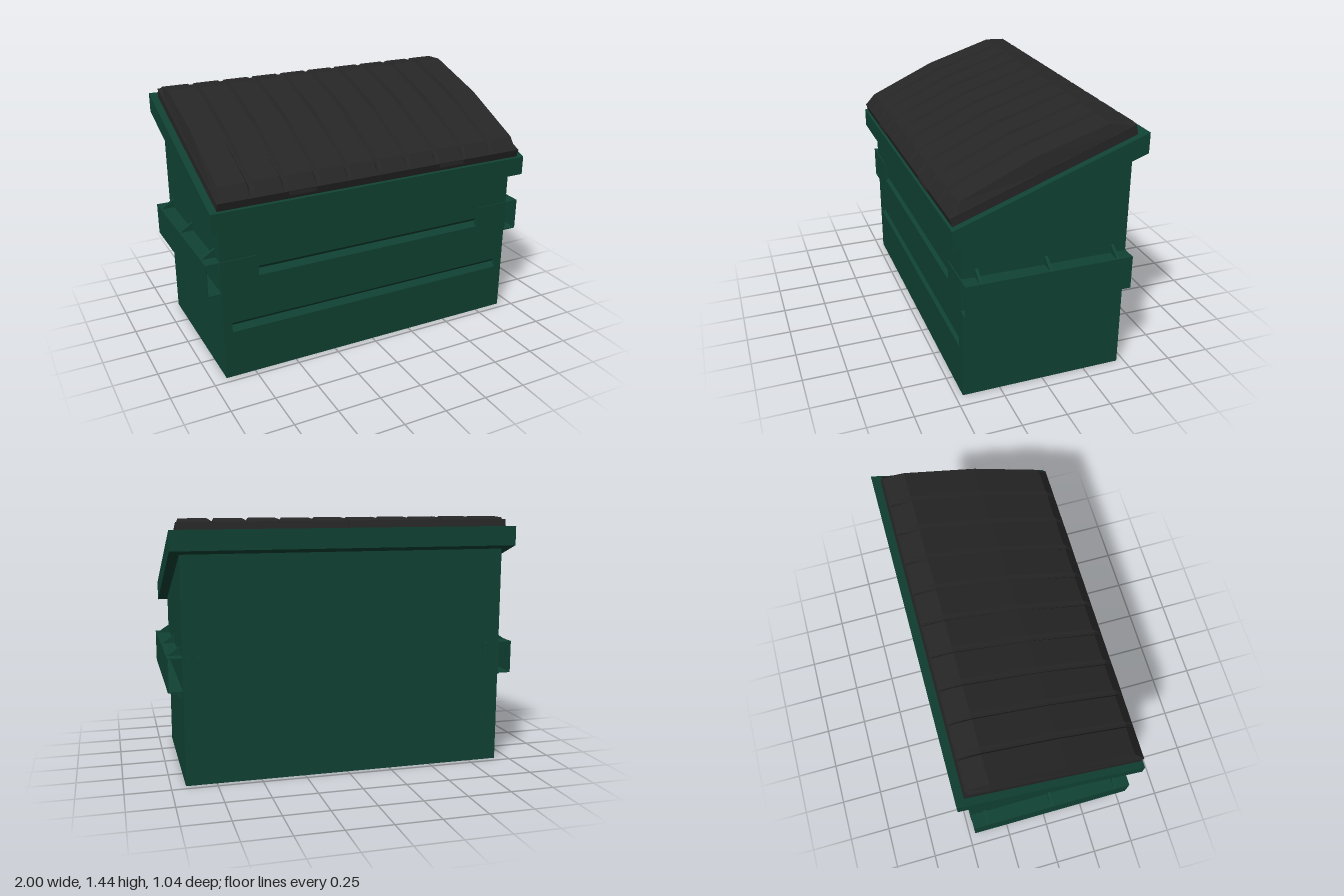
import * as THREE from 'three';

const green = new THREE.MeshStandardMaterial({ color: 0x104233 });
green.name = 'greenSteel';
const black = new THREE.MeshStandardMaterial({ color: 0x262626 });
black.name = 'blackPlastic';

export function createModel() {
  const model = new THREE.Group();
  model.name = 'dumpster';

  const add = (name, geometry, material = green) => {
    const mesh = new THREE.Mesh(geometry, material);
    mesh.name = name;
    model.add(mesh);
    return mesh;
  };
  const box = (name, x0, x1, y0, y1, z0, z1, material) =>
    add(name, new THREE.BoxGeometry(Math.abs(x1 - x0), y1 - y0, z1 - z0), material)
      .position.set((x0 + x1) / 2, (y0 + y1) / 2, (z0 + z1) / 2);
  const shapeOf = (points) => new THREE.Shape(points.map(([x, y]) => new THREE.Vector2(x, y)));

  // Side profile given as [z, y], extruded across the full width
  const acrossX = (name, profile, halfWidth) => {
    const g = new THREE.ExtrudeGeometry(shapeOf(profile), { depth: halfWidth * 2, bevelEnabled: false });
    g.rotateY(-Math.PI / 2).translate(halfWidth, 0, 0);
    return add(name, g);
  };

  // Bin body with a sloping top
  const grooveBack = 0.43;
  acrossX('body', [[grooveBack, 0], [grooveBack, 0.96], [-0.46, 1.29], [-0.46, 0]], 0.92);

  // Front panel with two pressed-in V grooves
  const panel = shapeOf([[-0.92, 0], [0.92, 0], [0.92, 0.95], [-0.92, 0.95]]);
  for (const [half, y0, y1] of [[0.705, 0.59, 0.645], [0.87, 0.28, 0.337]]) {
    const hole = new THREE.Path();
    hole.moveTo(-half, y0).lineTo(-half, y1).lineTo(half, y1).lineTo(half, y0).closePath();
    panel.holes.push(hole);
    const mid = (y0 + y1) / 2;
    acrossX('grooveLowerFace', [[0.46, y0], [grooveBack, mid], [grooveBack, y0]], half);
    acrossX('grooveUpperFace', [[0.46, y1], [grooveBack, y1], [grooveBack, mid]], half);
  }
  add('frontPanel', new THREE.ExtrudeGeometry(panel, { depth: 0.46 - grooveBack, bevelEnabled: false }))
    .position.z = grooveBack;

  // Sloping rim around the opening
  acrossX('rim', [[0.52, 0.905], [0.52, 1.015], [-0.52, 1.39], [-0.52, 1.28]], 0.975);

  // Fork pockets on both sides, open at the ends
  for (const s of [1, -1]) {
    box('pocketOuterPlate', s * 0.994, s, 0.525, 0.713, -0.463, 0.466);
    box('pocketTopPlate', s * 0.92, s * 0.994, 0.707, 0.713, -0.463, 0.466);
    box('pocketBottomPlate', s * 0.92, s * 0.994, 0.525, 0.531, -0.463, 0.466);
    box('pocketFrontStrap', s * 0.71, s * 0.922, 0.525, 0.713, 0.458, 0.466);
    box('pocketBackStrap', s * 0.82, s * 0.922, 0.525, 0.713, -0.466, -0.458);
    for (const z of [-0.38, 0, 0.38]) {
      for (const [wallY, plateY] of [[0.762, 0.712], [0.473, 0.526]]) {
        const gusset = shapeOf([[s * 0.92, plateY], [s * 0.998, plateY], [s * 0.92, wallY]]);
        add('pocketGusset', new THREE.ExtrudeGeometry(gusset, { depth: 0.016, bevelEnabled: false }))
          .position.z = z - 0.008;
      }
    }
  }

  // Lid sections as [z, y], from the front lip over the top to the back lip
  const lip = (inner) => [[0.506, 1.018], [0.52, 1.065], ...inner, [-0.461, 1.427], [-0.475, 1.368]];
  const crown = lip([[0.465, 1.135], [0.07, 1.315], [-0.335, 1.442], [-0.453, 1.437]]);
  const valley = lip([[0.475, 1.112], [0.07, 1.288], [-0.335, 1.42], [-0.445, 1.43]]);
  const flange = lip([0.475, 0.07, -0.335, -0.445].map((z) => [z, 1.065 + (0.52 - z) * 0.367]));

  // Stations across one lid half: raised panels between narrow grooves
  const stations = [[0.001, valley], [0.007, valley], [0.018, crown]];
  for (let i = 1; i < 5; i++) {
    const x = i * 0.185;
    stations.push([x - 0.018, crown], [x - 0.007, valley], [x + 0.007, valley], [x + 0.018, crown]);
  }
  stations.push([0.912, crown], [0.93, flange], [0.935, flange]);

  const loft = (list) => {
    const pos = [];
    const tri = (...corners) => corners.forEach(([i, j]) => {
      const [x, section] = list[i];
      pos.push(x, section[j][1], section[j][0]);
    });
    const n = crown.length, last = list.length - 1;
    for (let i = 0; i < last; i++) {
      for (let j = 0; j < n; j++) {
        const k = (j + 1) % n;
        tri([i, j], [i + 1, j], [i + 1, k]);
        tri([i, j], [i + 1, k], [i, k]);
      }
    }
    for (let j = 1; j < n - 1; j++) {
      tri([0, 0], [0, j], [0, j + 1]);
      tri([last, 0], [last, j + 1], [last, j]);
    }
    const g = new THREE.BufferGeometry();
    g.setAttribute('position', new THREE.Float32BufferAttribute(pos, 3));
    g.computeVertexNormals();
    return g;
  };
  add('leftLid', loft(stations), black);
  add('rightLid', loft(stations.map(([x, section]) => [-x, section]).reverse()), black);

  // Lid grips on the front lip
  for (const s of [1, -1]) box('lidGrip', s * 0.385, s * 0.54, 1.042, 1.06, 0.5, 0.522, black);

  return model;
}
